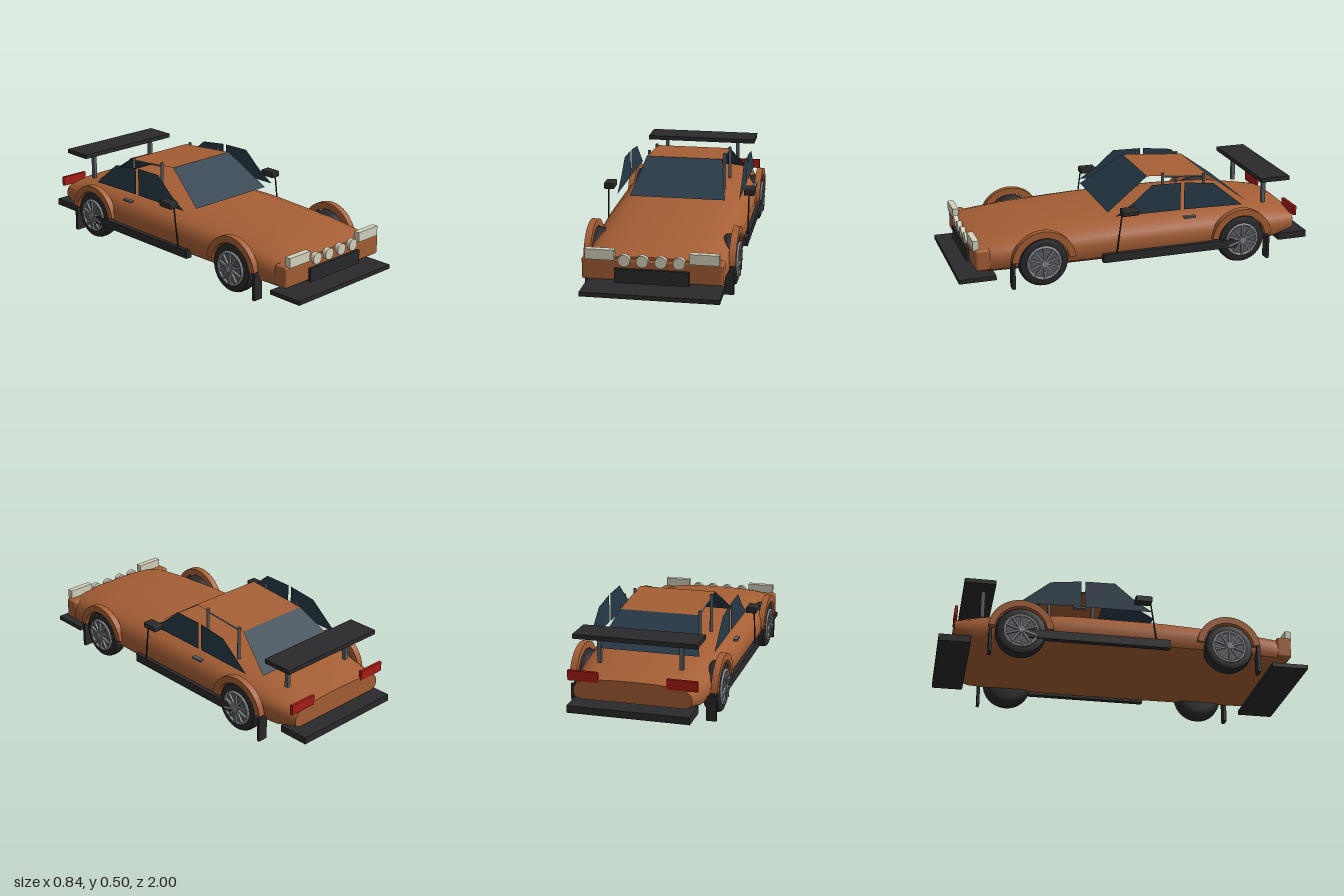
import * as THREE from 'three';
import { toCreasedNormals } from 'three/addons/utils/BufferGeometryUtils.js';
import { RoundedBoxGeometry } from 'three/addons/geometries/RoundedBoxGeometry.js';

const mat = (color, side = THREE.FrontSide) => new THREE.MeshStandardMaterial({ color, side });

export function createModel() {
  const car = new THREE.Group();
  car.name = 'rallyCar';
  const paint = mat(0xa65f35), sheet = mat(0xa65f35, THREE.DoubleSide);
  const black = mat(0x2a2a2c), steel = mat(0x5a6066), alloy = mat(0x85888c);
  const glass = mat(0x263a48, THREE.DoubleSide), lamp = mat(0xd6d3be), red = mat(0xa81c16);

  const add = (name, geo, material, parent = car) => {
    const m = new THREE.Mesh(geo, material);
    m.name = name;
    parent.add(m);
    return m;
  };
  // Box given by its ranges on each axis
  const box = (name, material, [x0, x1], [y0, y1], [z0, z1]) => {
    const m = add(name, new THREE.BoxGeometry(Math.abs(x1 - x0), y1 - y0, Math.abs(z1 - z0)), material);
    m.position.set((x0 + x1) / 2, (y0 + y1) / 2, (z0 + z1) / 2);
    return m;
  };
  const rod = (name, material, a, b, r) => {
    const path = new THREE.LineCurve3(new THREE.Vector3(...a), new THREE.Vector3(...b));
    const m = add(name, new THREE.CylinderGeometry(r, r, path.getLength(), 10), material);
    m.position.copy(path.getPoint(0.5));
    m.quaternion.setFromUnitVectors(new THREE.Vector3(0, 1, 0), path.getTangent(0));
    return m;
  };
  // Flat panel symmetric about x, from a front edge to a rear edge [halfWidth, y, z]
  const panel = (name, material, [w0, y0, z0], [w1, y1, z1]) => {
    const g = new THREE.BufferGeometry();
    g.setAttribute('position', new THREE.Float32BufferAttribute(
      [-w0, y0, z0, w0, y0, z0, w1, y1, z1, -w1, y1, z1], 3));
    g.setIndex([0, 1, 2, 0, 2, 3]);
    g.computeVertexNormals();
    return add(name, g, material);
  };

  // Body shell: one section shape scaled at stations [z, halfWidth, bottom, top]
  const stations = [
    [0.9, 0.33, 0.13, 0.25], [0.84, 0.358, 0.1, 0.268], [0.6, 0.373, 0.1, 0.292], [0.2, 0.38, 0.1, 0.31],
    [-0.3, 0.38, 0.1, 0.312], [-0.6, 0.366, 0.1, 0.3], [-0.8, 0.335, 0.1, 0.27], [-0.92, 0.31, 0.13, 0.245],
  ];
  const half = [[0.88, 0], [0.97, 0.1], [1, 0.25], [1, 0.5], [0.96, 0.68], [0.87, 0.82], [0.7, 0.92], [0.4, 0.98]];
  const section = [...half, [0, 1], ...half.map(([x, y]) => [-x, y]).reverse()];
  const n = section.length, pos = [], idx = [];
  for (const [z, w, b, t] of stations) for (const [x, y] of section) pos.push(x * w, b + y * (t - b), z);
  const last = (stations.length - 1) * n;
  for (let j = 0; j < n; j++) {
    const k = (j + 1) % n;
    for (let i = 0; i < last; i += n) idx.push(i + j, i + n + j, i + k, i + k, i + n + j, i + n + k);
    if (j > 0 && j < n - 1) idx.push(0, j, j + 1, last, last + j + 1, last + j);
  }
  const shell = new THREE.BufferGeometry();
  shell.setAttribute('position', new THREE.Float32BufferAttribute(pos, 3));
  shell.setIndex(idx);
  add('body', toCreasedNormals(shell, 0.6), paint);

  // Front end
  add('frontBumper', new RoundedBoxGeometry(0.72, 0.115, 0.08, 2, 0.012), paint).position.set(0, 0.178, 0.87);
  box('grille', black, [-0.19, 0.19], [0.115, 0.19], [0.89, 0.925]);
  box('frontSplitter', black, [-0.355, 0.355], [0.06, 0.083], [0.8, 1]);
  for (const x of [-0.139, -0.047, 0.047, 0.139]) {
    const m = add('spotLamp', new THREE.CylinderGeometry(0.031, 0.031, 0.025, 24), lamp);
    m.rotation.x = Math.PI / 2;
    m.position.set(x, 0.232, 0.912);
  }

  // Rear end
  box('rearDiffuser', black, [-0.32, 0.32], [0.08, 0.118], [-0.83, -1]);
  box('rearWing', black, [-0.325, 0.325], [0.432, 0.456], [-0.71, -0.88]);

  // Cabin
  panel('windshield', glass, [0.265, 0.335, 0.16], [0.215, 0.5, -0.08]);
  panel('roof', sheet, [0.215, 0.5, -0.08], [0.215, 0.47, -0.44]);
  panel('rearWindow', glass, [0.215, 0.47, -0.44], [0.275, 0.315, -0.65]);
  const windows = {
    frontSideWindow: [[0.14, 0.335], [0.04, 0.4], [-0.065, 0.49], [-0.23, 0.487], [-0.23, 0.332]],
    rearSideWindow: [[-0.25, 0.486], [-0.42, 0.465], [-0.59, 0.325], [-0.25, 0.333]],
  };

  // Wheel pieces, all with the axle along x
  const tyreGeo = new THREE.LatheGeometry([
    [0, -0.044], [0.09, -0.044], [0.115, -0.04], [0.129, -0.024], [0.134, -0.004], [0.134, 0.026],
    [0.128, 0.04], [0.115, 0.045], [0.095, 0.045], [0.09, 0.036], [0, 0.036],
  ].map(([r, y]) => new THREE.Vector2(r, y)), 40);
  const tyre = toCreasedNormals(tyreGeo.rotateZ(-Math.PI / 2), 0.7);
  const disc = new THREE.CylinderGeometry(0.088, 0.088, 0.008, 32).rotateZ(-Math.PI / 2);
  const rim = new THREE.TorusGeometry(0.087, 0.008, 8, 36).rotateY(Math.PI / 2);
  const spoke = new THREE.BoxGeometry(0.012, 0.07, 0.011).translate(0.053, 0.05, 0);
  const hub = new THREE.CylinderGeometry(0.018, 0.022, 0.022, 16).rotateZ(-Math.PI / 2).translate(0.052, 0, 0);
  const wheel = (s, z) => {
    const g = new THREE.Group();
    g.name = z > 0 ? 'frontWheel' : 'rearWheel';
    add('tyre', tyre, black, g);
    add('rimDisc', disc, steel, g).position.x = 0.04;
    add('rim', rim, alloy, g).position.x = 0.047;
    add('hub', hub, alloy, g);
    for (let i = 0; i < 10; i++) add('spoke', spoke, alloy, g).rotation.x = i * Math.PI / 5;
    g.position.set(s * 0.345, 0.139, z);
    g.rotation.y = s > 0 ? 0 : Math.PI;
    car.add(g);
  };

  // Wheel arch: flat ring sector
  const a0 = 0.12, arc = new THREE.Shape();
  arc.absarc(0, 0, 0.175, a0, Math.PI - a0, false);
  arc.absarc(0, 0, 0.138, Math.PI - a0, a0, true);
  const archGeo = toCreasedNormals(new THREE.ExtrudeGeometry(arc,
    { depth: 0.036, bevelEnabled: false, curveSegments: 28 }).translate(0, 0, -0.018).rotateY(Math.PI / 2), 0.5);

  // Parts on both sides
  for (const s of [-1, 1]) {
    for (const z of [0.55, -0.575]) {
      wheel(s, z);
      add('wheelArch', archGeo, paint).position.set(s * 0.378, 0.139, z);
    }
    box('frontMudFlap', black, [s * 0.335, s * 0.39], [0.008, 0.165], [0.706, 0.724]);
    box('rearMudFlap', black, [s * 0.335, s * 0.39], [0.008, 0.14], [-0.727, -0.743]);
    box('sideSkirt', black, [s * 0.365, s * 0.4], [0.1, 0.147], [0.225, -0.55]);
    box('headlight', lamp, [s * 0.19, s * 0.34], [0.23, 0.284], [0.885, 0.918]);
    box('tailLight', red, [s * 0.18, s * 0.34], [0.225, 0.278], [-0.908, -0.924]);
    box('doorHandle', steel, [s * 0.37, s * 0.393], [0.297, 0.308], [-0.235, -0.3]);
    add('mirror', new RoundedBoxGeometry(0.058, 0.034, 0.09, 2, 0.005), black).position.set(s * 0.392, 0.373, 0.08);
    rod('mirrorStalk', black, [s * 0.392, 0.14, 0.15], [s * 0.392, 0.362, 0.12], 0.004);
    box('wingPost', steel, [s * 0.208, s * 0.228], [0.28, 0.432], [-0.76, -0.782]);
    // Roll cage
    rod('cageFrontPost', steel, [s * 0.217, 0.3, -0.17], [s * 0.217, 0.51, -0.17], 0.009);
    rod('cageRearPost', steel, [s * 0.217, 0.3, -0.41], [s * 0.217, 0.485, -0.41], 0.009);
    rod('cageRail', steel, [s * 0.213, 0.488, -0.17], [s * 0.213, 0.468, -0.41], 0.005);
    for (const [name, pts] of Object.entries(windows)) {
      const shape = new THREE.Shape(pts.map(([z, y]) => new THREE.Vector2(-z, y)));
      add(name, new THREE.ShapeGeometry(shape).rotateY(Math.PI / 2), glass).position.x = s * 0.34;
    }
  }
  return car;
}
